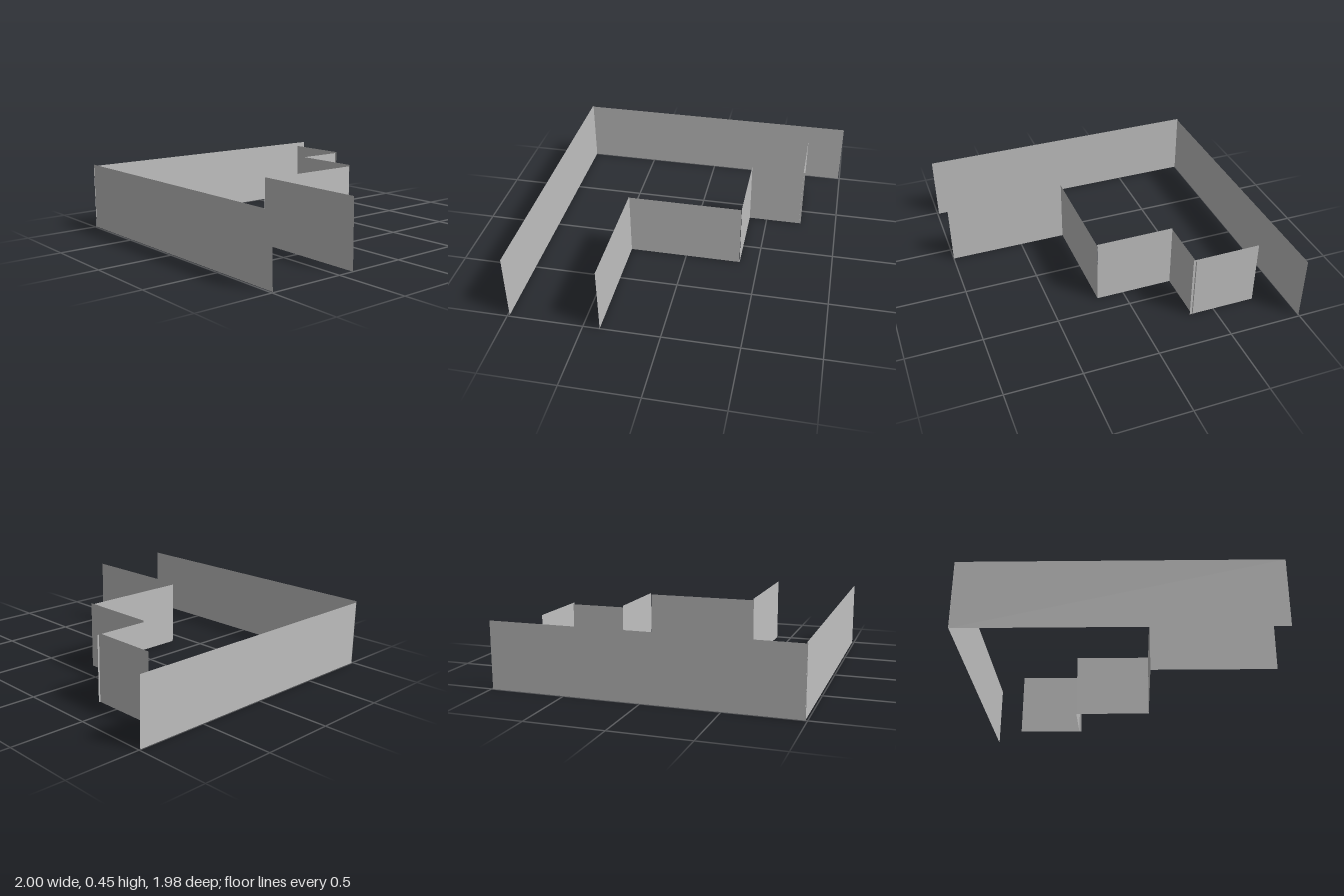
import * as THREE from 'three';

// Thin upright wall panels standing on the floor
export function createModel() {
  const group = new THREE.Group();
  const grey = new THREE.MeshStandardMaterial({ color: 0xc0c0c0, side: THREE.DoubleSide });
  grey.name = 'light grey';

  // Panel from (x1, z1) to (x2, z2)
  function wall(name, x1, z1, x2, z2) {
    const alongX = z1 === z2;
    const height = alongX ? 0.45 : 0.44;
    const geometry = new THREE.PlaneGeometry(Math.hypot(x2 - x1, z2 - z1), height);
    const mesh = new THREE.Mesh(geometry, grey);
    mesh.name = name;
    mesh.position.set((x1 + x2) / 2, height / 2, (z1 + z2) / 2);
    if (!alongX) mesh.rotation.y = Math.PI / 2;
    group.add(mesh);
  }

  // Outer corner
  wall('frontWall', -1, 0.987, 0.99, 0.987);
  wall('rightWall', -0.998, -0.99, -0.998, 0.99);

  // Stepped inner run, from front to back
  wall('lowerStepWall', 0.183, 0.39, 1, 0.39);
  wall('lowerStepReturn', 0.183, -0.373, 0.183, 0.393);
  wall('middleStepWall', -0.345, -0.375, 0.183, -0.375);
  wall('upperStepReturn', -0.345, -0.75, -0.345, -0.375);
  wall('upperStepWall', -0.79, -0.738, -0.33, -0.738);

  return group;
}
